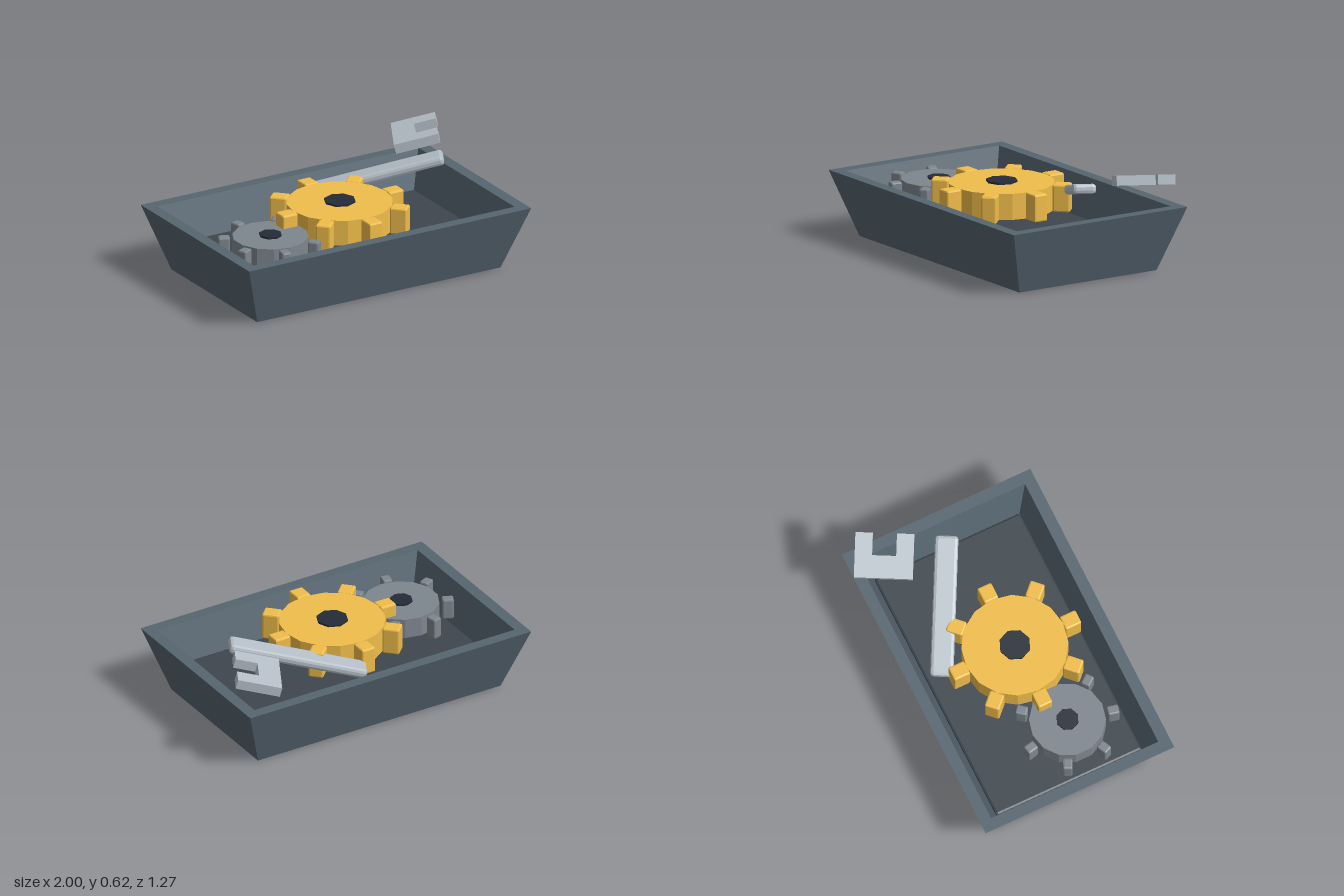
import * as THREE from 'three';
import { RoundedBoxGeometry } from 'three/addons/geometries/RoundedBoxGeometry.js';

const mat = (color) => new THREE.MeshStandardMaterial({ color, flatShading: true });

const trayMat = mat(0x566570);
const floorMat = mat(0x3e464e);
const goldMat = mat(0xf0bd4a);
const greyMat = mat(0x7e868e);
const hubMat = mat(0x262c38);
const steelMat = mat(0xb6bfc8);

function add(parent, name, geometry, material, x = 0, y = 0, z = 0) {
  const mesh = new THREE.Mesh(geometry, material);
  mesh.name = name;
  mesh.position.set(x, y, z);
  parent.add(mesh);
  return mesh;
}

// Skin over a stack of rectangles given as [halfX, halfZ, y]
function rectLoft(rings) {
  const corners = [[1, 1], [1, -1], [-1, -1], [-1, 1]];
  const pos = [];
  const put = (i, j) => {
    const [hx, hz, y] = rings[i], [sx, sz] = corners[j % 4];
    pos.push(hx * sx, y, hz * sz);
  };
  for (let i = 0; i < rings.length - 1; i++) {
    for (let j = 0; j < 4; j++) {
      put(i, j); put(i, j + 1); put(i + 1, j + 1);
      put(i, j); put(i + 1, j + 1); put(i + 1, j);
    }
  }
  const g = new THREE.BufferGeometry();
  g.setAttribute('position', new THREE.Float32BufferAttribute(pos, 3));
  g.computeVertexNormals();
  return g;
}

// Gear lying flat: faceted disc, ring of chamfered teeth, dark hub
function gear(name, o) {
  const g = new THREE.Group();
  g.name = name;
  add(g, 'gearDisc', new THREE.CylinderGeometry(o.radius, o.radius, o.height, o.teeth * 2), o.material);
  const toothGeo = new RoundedBoxGeometry(o.toothLength, o.height + 0.008, o.toothWidth, 1, 0.01);
  for (let k = 0; k < o.teeth; k++) {
    const a = (k / o.teeth) * Math.PI * 2;
    const tooth = add(g, 'gearTooth', toothGeo, o.material,
      Math.cos(a) * o.toothRadius, 0, Math.sin(a) * o.toothRadius);
    tooth.rotation.y = -a;
  }
  add(g, 'gearHub', new THREE.CylinderGeometry(o.hub, o.hub, o.height + 0.024, 8), hubMat);
  return g;
}

export function createModel() {
  const model = new THREE.Group();
  model.name = 'gearTray';

  // Tray: closed base, sloping outer wall, flat rim, parallel inner wall
  const tray = new THREE.Group();
  tray.name = 'tray';
  tray.position.set(-0.018, 0, 0.01);
  add(tray, 'trayWalls', rectLoft([
    [0, 0, 0.003], [0.848, 0.494, 0.003], [0.982, 0.625, 0.4], [0.909, 0.554, 0.4], [0.833, 0.481, 0.16],
  ]), trayMat);
  // Floor panel inside and base plate underneath
  add(tray, 'trayFloor', new RoundedBoxGeometry(1.67, 0.1, 0.966, 1, 0.015), floorMat, 0, 0.125, 0);
  add(tray, 'basePlate', new THREE.BoxGeometry(1.64, 0.02, 0.93), floorMat, 0, 0.01, 0);
  model.add(tray);

  // Gears
  const large = gear('largeGear', {
    radius: 0.32, height: 0.16, teeth: 8, toothLength: 0.105, toothWidth: 0.092,
    toothRadius: 0.369, hub: 0.096, material: goldMat,
  });
  large.position.set(-0.019, 0.37, 0.055);
  const small = gear('smallGear', {
    radius: 0.23, height: 0.125, teeth: 7, toothLength: 0.07, toothWidth: 0.058,
    toothRadius: 0.279, hub: 0.069, material: greyMat,
  });
  small.position.set(-0.555, 0.31, 0.143);
  model.add(large, small);

  // Wrench: handle and open jaw share the same tilt
  const wrench = new THREE.Group();
  wrench.name = 'wrench';
  const handle = add(wrench, 'wrenchHandle',
    new RoundedBoxGeometry(0.845, 0.06, 0.14, 1, 0.02), steelMat, 0.388, 0.447, -0.215);

  // C-shaped jaw, opening along +x
  const jawShape = new THREE.Shape([
    [0, -0.176], [0.272, -0.176], [0.272, -0.072], [0.137, -0.072],
    [0.137, 0.072], [0.272, 0.072], [0.272, 0.176], [0, 0.176],
  ].map(([x, y]) => new THREE.Vector2(x, y)));
  const jawGeo = new THREE.ExtrudeGeometry(jawShape, { depth: 0.06, bevelEnabled: false });
  jawGeo.rotateX(-Math.PI / 2);
  const jaw = add(wrench, 'wrenchJaw', jawGeo, steelMat, 0.684, 0.496, -0.475);

  for (const part of [handle, jaw]) part.rotation.set(0, -0.49, 0.245);
  model.add(wrench);

  return model;
}
